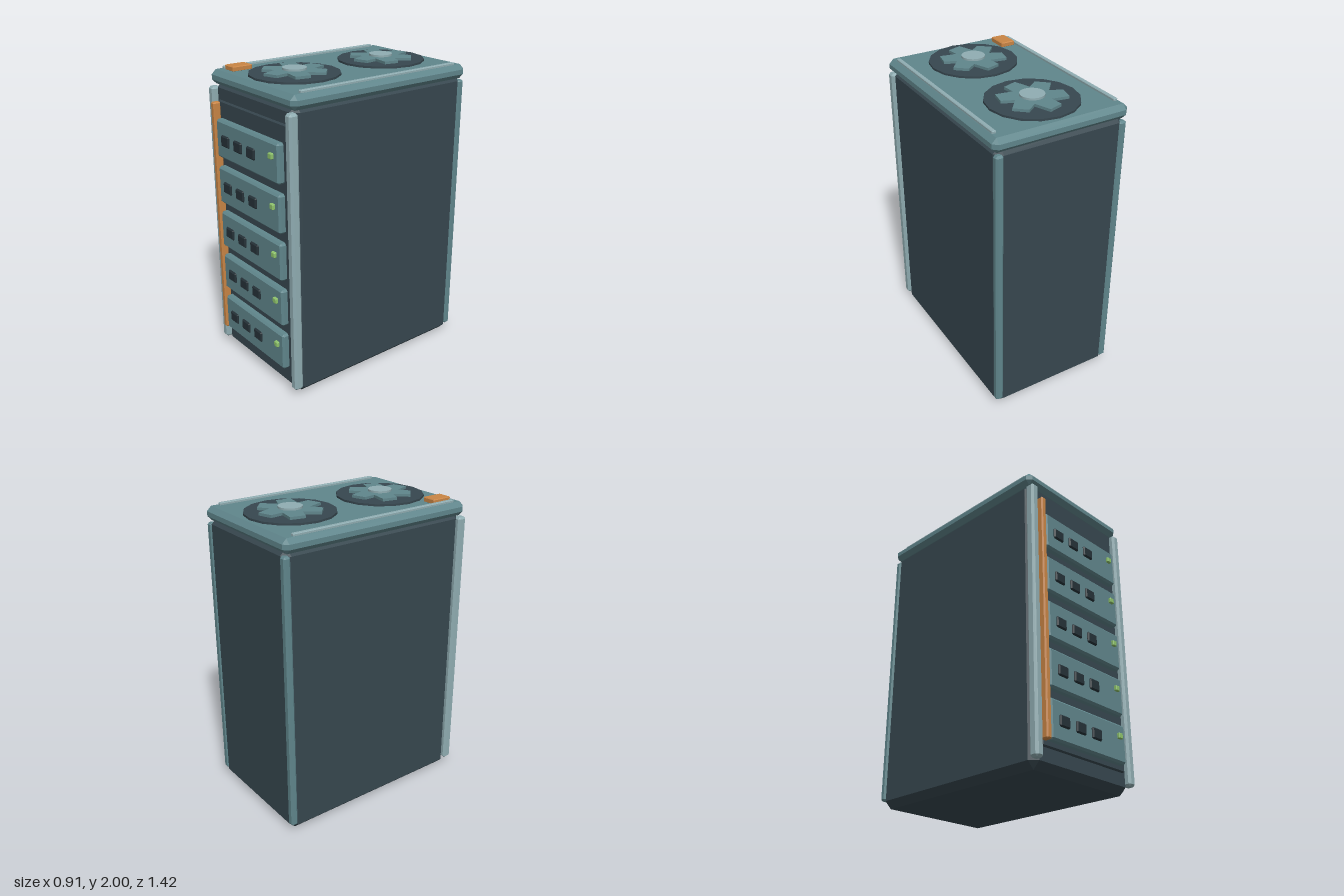
import * as THREE from 'three';
import { ConvexGeometry } from 'three/addons/geometries/ConvexGeometry.js';

const paint = (name, color) => {
  const m = new THREE.MeshStandardMaterial({ color });
  m.name = name;
  return m;
};

// Box with every edge cut at 45 degrees: hull of three points per corner
function chamferBox(w, h, d, c) {
  const pts = [];
  for (const sx of [-1, 1]) for (const sy of [-1, 1]) for (const sz of [-1, 1]) {
    const x = w / 2, y = h / 2, z = d / 2;
    pts.push(
      new THREE.Vector3(sx * x, sy * (y - c), sz * (z - c)),
      new THREE.Vector3(sx * (x - c), sy * y, sz * (z - c)),
      new THREE.Vector3(sx * (x - c), sy * (y - c), sz * z));
  }
  return new ConvexGeometry(pts);
}

// Six swept blades as one star-shaped outline lying flat
function bladeGeometry(height) {
  const pts = [];
  for (let k = 0; k < 6; k++) {
    for (const [r, deg] of [[0.2, 113], [0.215, 86], [0.122, 64]]) {
      const a = THREE.MathUtils.degToRad(deg - 60 * k);
      pts.push(new THREE.Vector2(r * Math.cos(a), r * Math.sin(a)));
    }
  }
  const geo = new THREE.ExtrudeGeometry(new THREE.Shape(pts), { depth: height, bevelEnabled: false });
  return geo.rotateX(-Math.PI / 2);
}

export function createModel() {
  const dark = paint('dark slate', 0x37474f);
  const teal = paint('muted teal', 0x60868c);
  const pale = paint('pale teal', 0x90adb2);
  const black = paint('vent black', 0x263238);
  const orange = paint('orange', 0xc98545);
  const green = paint('green light', 0x8fc46c);

  const model = new THREE.Group();
  const add = (name, geo, mat, x = 0, y = 0, z = 0, parent = model) => {
    const mesh = new THREE.Mesh(geo, mat);
    mesh.name = name;
    mesh.position.set(x, y, z);
    parent.add(mesh);
    return mesh;
  };
  // Chamfered block given by its limits on each axis
  const block = (name, mat, [x0, x1], [y0, y1], [z0, z1], c, parent) =>
    add(name, chamferBox(x1 - x0, y1 - y0, z1 - z0, c), mat,
      (x0 + x1) / 2, (y0 + y1) / 2, (z0 + z1) / 2, parent);

  // Cabinet, lid and front panel
  block('cabinet', dark, [-0.433, 0.433], [0, 1.895], [-0.705, 0.637], 0.045);
  block('lid', teal, [-0.453, 0.453], [1.866, 1.957], [-0.713, 0.655], 0.03);
  block('frontPanel', dark, [-0.375, 0.375], [0.13, 1.775], [0.6, 0.65], 0.008);

  // Corner rails and lid strips, mirrored
  for (const s of [-1, 1]) {
    const span = (a, b) => (s > 0 ? [a, b] : [-b, -a]);
    block('frontRail', pale, span(0.387, 0.447), [0.05, 1.855], [0.612, 0.675], 0.014);
    block('backRail', teal, span(0.387, 0.44), [0.05, 1.855], [-0.712, -0.665], 0.012);
    block('lidStrip', pale, span(0.393, 0.42), [1.95, 1.972], [-0.634, 0.578], 0.004);
  }

  // Orange accents
  block('cableBar', orange, [-0.385, -0.345], [0.16, 1.767], [0.645, 0.698], 0.008);
  block('lidTag', orange, [-0.385, -0.287], [1.953, 1.986], [0.44, 0.58], 0.005);

  // Five drawers, each with three vents and a status light
  const ventGeo = chamferBox(0.088, 0.072, 0.04, 0.008);
  const lightGeo = chamferBox(0.036, 0.036, 0.04, 0.004);
  for (let i = 0; i < 5; i++) {
    const drawer = new THREE.Group();
    drawer.name = 'drawer';
    drawer.position.y = 0.29 + 0.3128 * i;
    model.add(drawer);
    block('drawerFront', teal, [-0.342, 0.342], [-0.125, 0.125], [0.635, 0.692], 0.013, drawer);
    for (let j = 0; j < 3; j++) add('vent', ventGeo, black, -0.231 + 0.1445 * j, 0, 0.684, drawer);
    add('statusLight', lightGeo, green, 0.28, 0.042, 0.69, drawer);
  }

  // Two fans on the lid
  const wellGeo = new THREE.CylinderGeometry(0.286, 0.286, 0.016, 16);
  const bladesGeo = bladeGeometry(0.018);
  const hubGeo = new THREE.CylinderGeometry(0.076, 0.076, 0.032, 24);
  for (const z of [-0.375, 0.32]) {
    const fan = new THREE.Group();
    fan.name = 'fan';
    fan.position.set(0, 1.957, z);
    model.add(fan);
    add('fanWell', wellGeo, dark, 0, 0.005, 0, fan);
    add('fanBlades', bladesGeo, teal, 0, 0.012, 0, fan);
    add('fanHub', hubGeo, pale, 0, 0.027, 0, fan);
  }
  return model;
}
